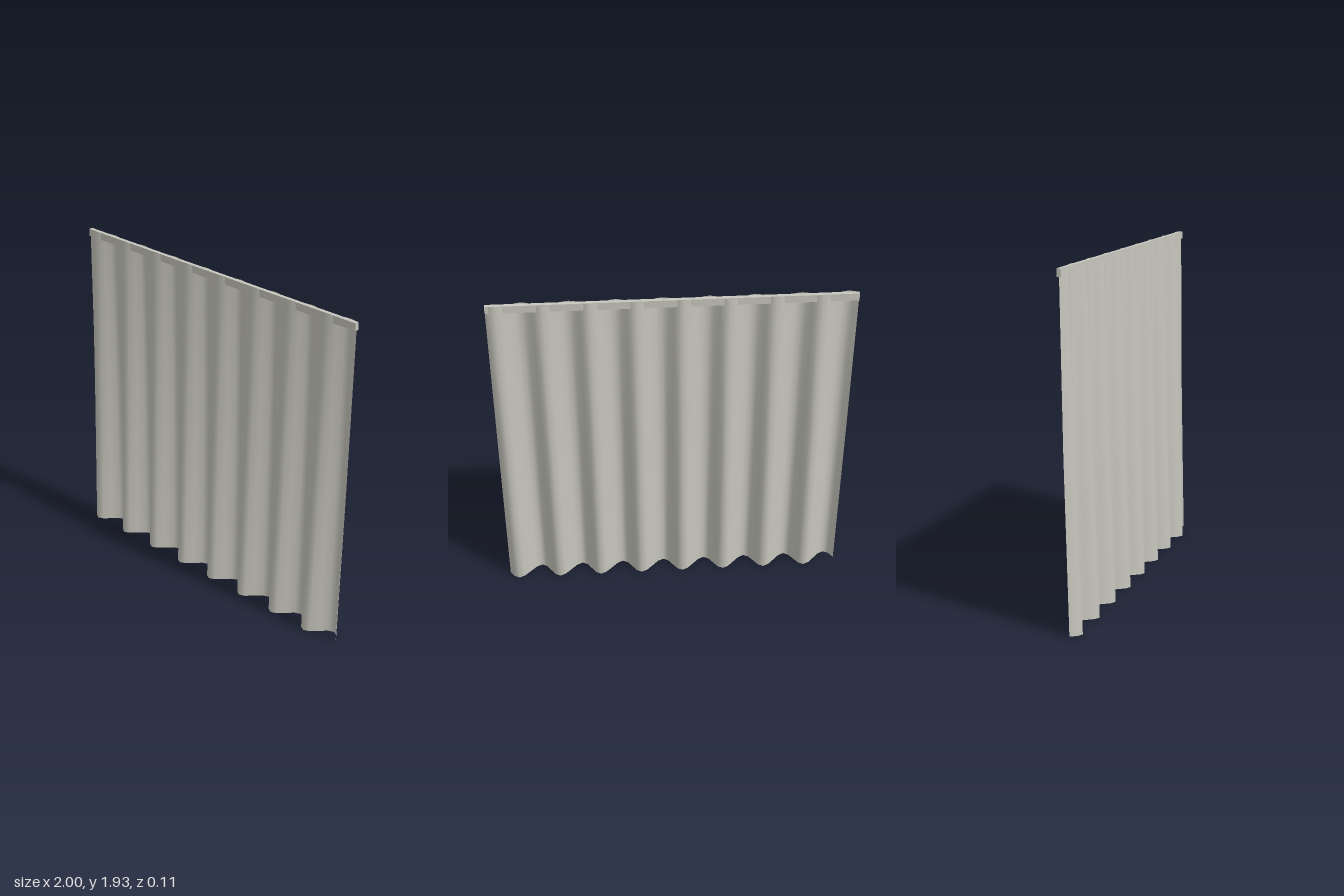
import * as THREE from 'three';

const HEIGHT = 1.935;
const PLEATS = 8;

// Pleat rows from hem to top: middle depth and half depth of the folds
const ROWS = [
  { mid: 0.004, amp: 0.054 },
  { mid: -0.018, amp: 0.039 },
  { mid: -0.03, amp: 0.022 },
];

// Hanging sheet, waved across its width; the folds flatten towards the top
function pleatedSheet() {
  const geo = new THREE.PlaneGeometry(2, HEIGHT, PLEATS * 8, ROWS.length - 1);
  geo.translate(0, HEIGHT / 2, 0);
  const pos = geo.attributes.position;
  for (let i = 0; i < pos.count; i++) {
    const x = pos.getX(i);
    const row = ROWS[Math.round((pos.getY(i) / HEIGHT) * (ROWS.length - 1))];
    const wave = Math.sin((x + 1) * Math.PI * PLEATS);
    pos.setX(i, x - 0.007 * wave);
    pos.setZ(i, row.mid + row.amp * wave);
  }
  geo.computeVertexNormals();
  return geo;
}

export function createModel() {
  const fabric = new THREE.MeshStandardMaterial({ color: 0xc8c7be, side: THREE.DoubleSide });
  fabric.name = 'pale grey fabric';

  const group = new THREE.Group();
  group.name = 'curtain';

  const sheet = new THREE.Mesh(pleatedSheet(), fabric);
  sheet.name = 'pleatedSheet';
  group.add(sheet);

  // Straight heading rail that the folds weave around
  const rail = new THREE.Mesh(new THREE.BoxGeometry(2, 0.043, 0.023), fabric);
  rail.name = 'headingRail';
  rail.position.set(0, HEIGHT - 0.0215, -0.0315);
  group.add(rail);

  return group;
}
